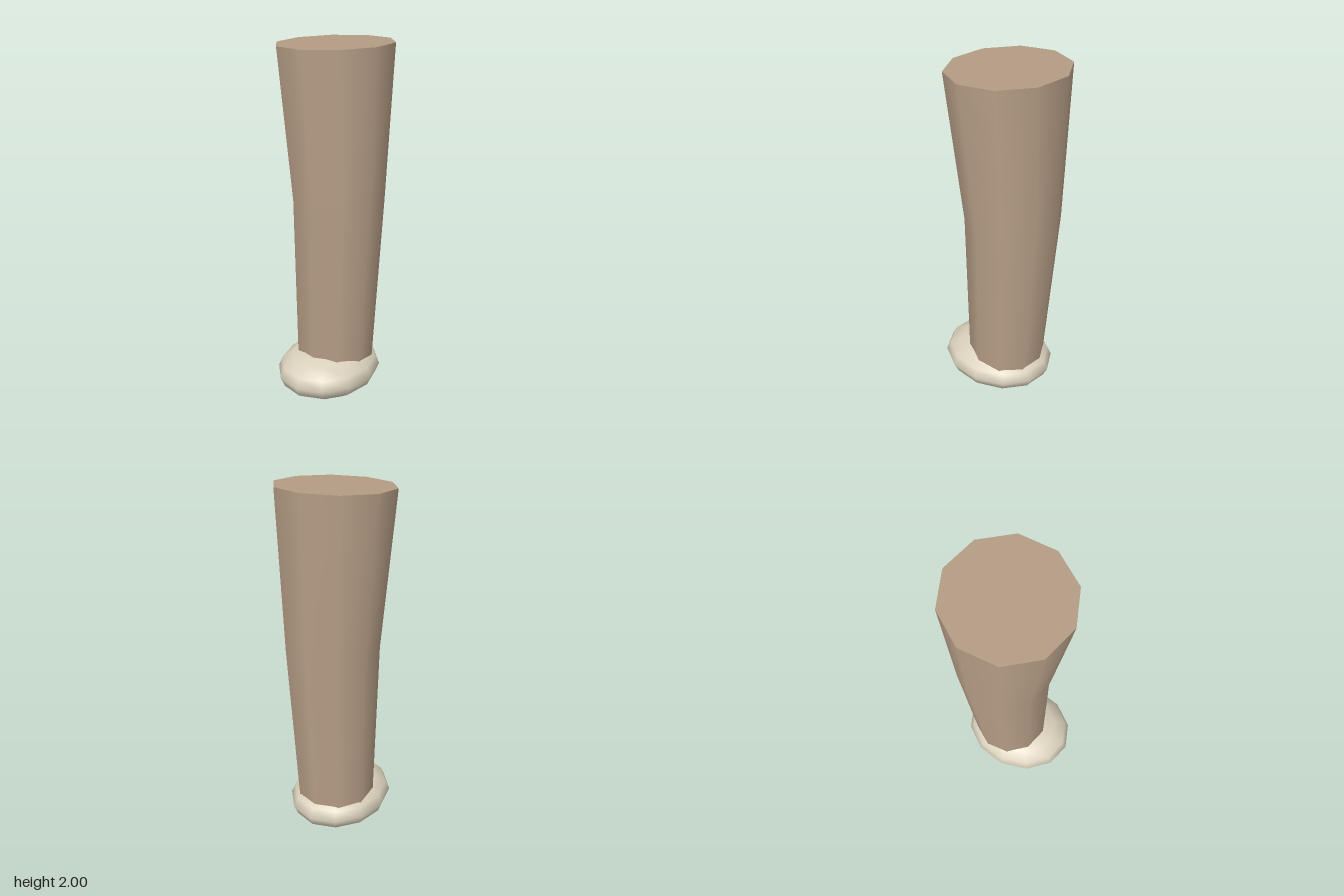
import * as THREE from 'three';

// Rings of the leg from bottom to top: height, z centre, radius, forward slope
const RINGS = [
  { y: 0.14, z: -0.037, r: 0.222, slope: 0 },
  { y: 1.145, z: -0.073, r: 0.262, slope: 0.02 },
  { y: 1.985, z: -0.039, r: 0.318, slope: -0.047 },
];

function createLeg() {
  // Unit ten-sided prism with one knee ring, bent onto the rings
  const geo = new THREE.CylinderGeometry(1, 1, 2, 10, 2);
  const pos = geo.attributes.position;
  for (let i = 0; i < pos.count; i++) {
    const ring = RINGS[Math.round(pos.getY(i)) + 1];
    const dz = pos.getZ(i) * ring.r;
    pos.setXYZ(i, pos.getX(i) * ring.r, ring.y + dz * ring.slope, ring.z + dz);
  }
  const leg = new THREE.Mesh(geo, new THREE.MeshStandardMaterial({ color: 0xb49c84 }));
  leg.name = 'leg';
  return leg;
}

function createFoot() {
  // Squashed ball, slightly longer front to back
  const geo = new THREE.SphereGeometry(1, 12, 8);
  geo.scale(0.28, 0.14, 0.335);
  geo.translate(0, 0.14, 0.019);
  const foot = new THREE.Mesh(geo, new THREE.MeshStandardMaterial({ color: 0xd9d0bb }));
  foot.name = 'foot';
  return foot;
}

export function createModel() {
  const model = new THREE.Group();
  model.name = 'legWithFoot';
  model.add(createLeg(), createFoot());
  return model;
}
